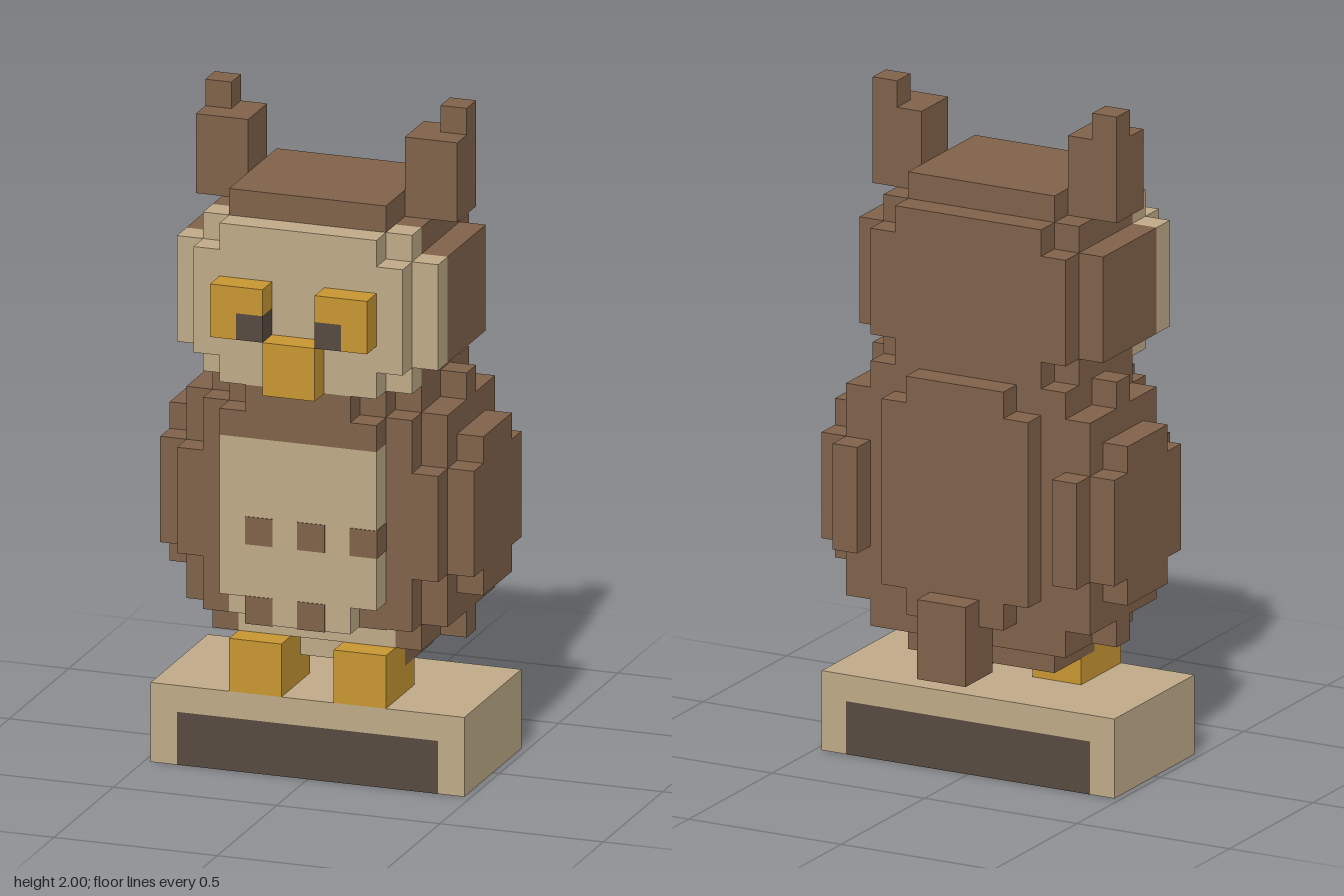
import * as THREE from 'three';
import { mergeGeometries } from 'three/addons/utils/BufferGeometryUtils.js';

const U = 0.08; // size of one block

function material(name, color) {
  const m = new THREE.MeshStandardMaterial({ color });
  m.name = name;
  return m;
}

// Box from grid ranges [x0, x1, y0, y1, z0, z1], optionally grown by a hair
function block([x0, x1, y0, y1, z0, z1], grow = 0) {
  const g = new THREE.BoxGeometry((x1 - x0) * U + grow, (y1 - y0) * U + grow, (z1 - z0) * U + grow);
  return g.translate((x0 + x1) / 2 * U, (y0 + y1) / 2 * U, (z0 + z1) / 2 * U);
}

const flip = ([x0, x1, ...rest]) => [-x1, -x0, ...rest];

export function createModel() {
  const owl = new THREE.Group();
  owl.name = 'blockOwl';
  const brown = material('brown', 0x80624a);
  const cream = material('cream', 0xbfaa88);
  const amber = material('amber', 0xc89632);
  const dark = material('dark', 0x574a40);

  function part(name, mat, blocks, grow = 0) {
    const mesh = new THREE.Mesh(mergeGeometries(blocks.map(b => block(b, grow))), mat);
    mesh.name = name;
    owl.add(mesh);
  }
  function pair(name, mat, blocks) {
    part(name + 'Left', mat, blocks);
    part(name + 'Right', mat, blocks.map(flip));
  }

  // Plinth with a dark core showing at front, back and bottom
  part('plinth', cream, [[-6, 6, 2, 3, -3, 3], [-6, -5, 0, 2, -3, 3], [5, 6, 0, 2, -3, 3]]);
  part('plinthPanel', dark, [[-5, 5, 0, 2, -3, 3]]);

  // Feet
  pair('foot', amber, [[1, 3, 3, 4, 0, 3], [1, 3, 4, 5, 1, 3]]);

  // Body: stepped core, bib above the belly, and tail
  part('body', brown, [
    [-3, 3, 4, 5, -2, 0],
    [-4, 4, 5, 6, -3, 1],
    [-4, 4, 6, 15, -3, 2],
    [-3, 3, 7, 14, -4, 2],
    [-2, 2, 6, 15, -4, 2],
  ]);
  pair('flank', brown, [[1, 3, 4, 5, 0, 1], [3, 4, 5, 15, -3, 2], [3, 4, 6, 14, -3, 3]]);
  part('bib', brown, [[-3, 3, 13, 15, 2, 3], [-3, 3, 13, 14, 3, 4], [-2, 2, 14, 15, 3, 4]]);
  part('tail', brown, [[-1, 1, 4, 7, -5, -3]]);

  // Pale belly and its spots
  part('belly', cream, [
    [-1, 1, 4, 5, 0, 1],
    [-3, 3, 5, 6, 1, 2],
    [-3, 3, 6, 13, 2, 3],
    [-3, 3, 7, 13, 3, 4],
    [-2, 2, 6, 7, 3, 4],
  ]);
  const spots = [[2, 3, 6, 7, 2, 3]];
  for (const x of [-2, 0, 2]) spots.push([x, x + 1, 9, 10, 3, 4]);
  for (const x of [-2, 0]) spots.push([x, x + 1, 6, 7, 3, 4]);
  part('bellySpots', brown, spots, 0.004);

  // Rounded wings
  pair('wing', brown, [
    [4, 5, 8, 12, -4, 3],
    [4, 5, 6, 14, -3, 2],
    [4, 5, 5, 15, -1, 0],
    [5, 6, 8, 12, -3, 2],
    [5, 6, 7, 13, -2, 1],
  ]);

  // Head: brown back and cap, pale face
  part('head', brown, [
    [-4, 4, 15, 21, -2, 2],
    [-4, 4, 16, 20, -3, 2],
    [-3, 3, 15, 21, -3, 2],
    [-5, 5, 16, 20, -2, 2],
    [-3, 3, 21, 22, -2, 3],
  ]);
  part('face', cream, [
    [-4, 4, 15, 21, 2, 3],
    [-5, 5, 16, 20, 2, 3],
    [-4, 4, 16, 20, 3, 4],
    [-3, 3, 15, 21, 3, 4],
  ]);

  // Ear tufts
  pair('ear', brown, [[3, 5, 21, 24, -1, 1], [4, 5, 24, 25, -1, 0]]);

  // Eyes with pupils in the inner lower corner, and beak
  pair('eye', amber, [[1, 3, 18, 19, 4, 5], [2, 3, 17, 18, 4, 5]]);
  pair('pupil', dark, [[1, 2, 17, 18, 4, 5]]);
  part('beak', amber, [[-1, 1, 15, 17, 4, 5]]);

  return owl;
}
